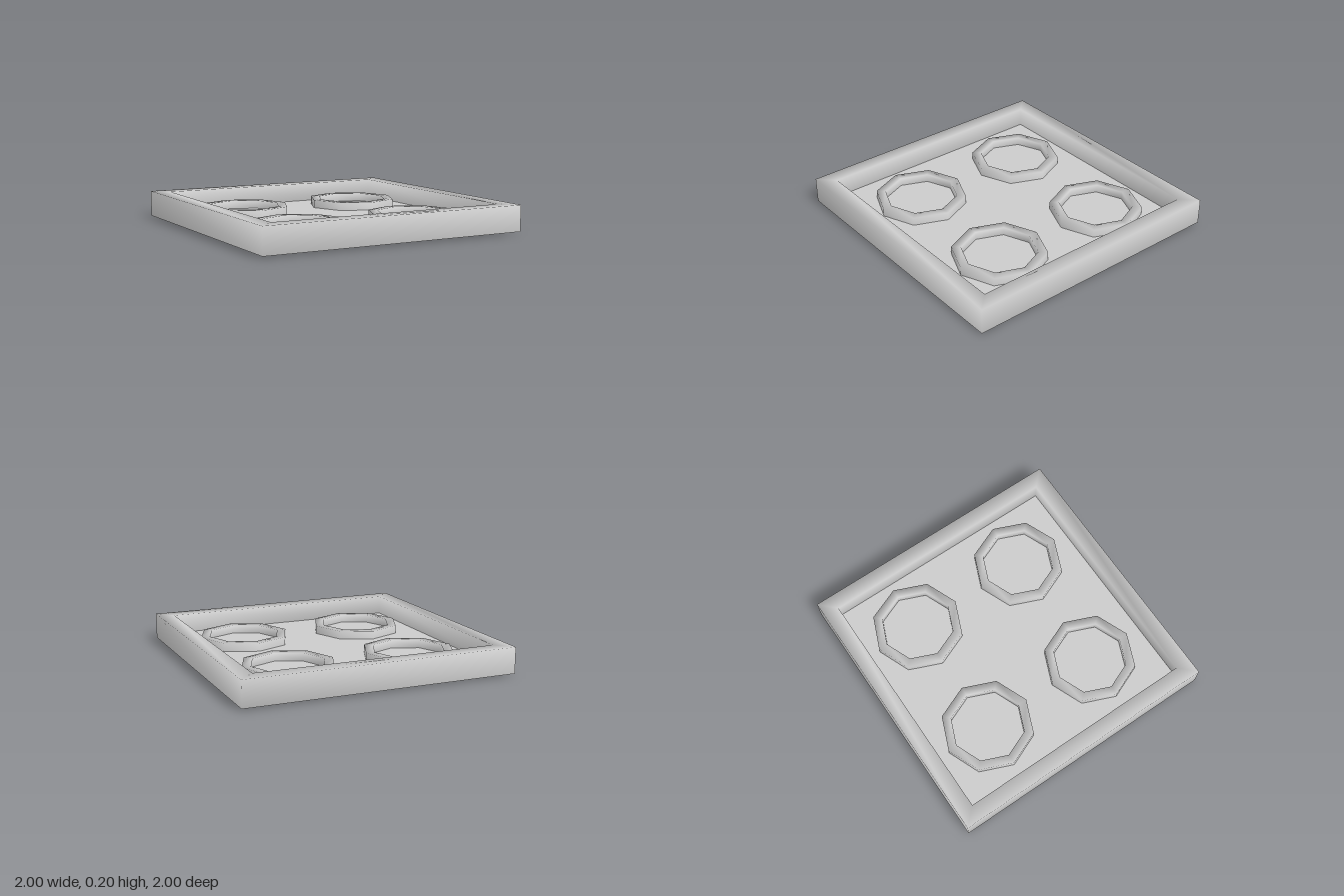
import * as THREE from 'three';

const material = new THREE.MeshStandardMaterial({ color: 0xcccccc, side: THREE.DoubleSide });
const FLOOR_Y = 0.063;

// Hollow rim, open underneath: outer wall, flat top, inner wall down to the floor
function rim(name, outer, inner, bottom, top, sides, phiStart) {
  const profile = [
    [outer, bottom], [outer, top], [inner, top], [inner, FLOOR_Y],
  ].map(([r, y]) => new THREE.Vector2(r, y));
  const mesh = new THREE.Mesh(new THREE.LatheGeometry(profile, sides, phiStart), material);
  mesh.name = name;
  return mesh;
}

export function createModel() {
  const group = new THREE.Group();
  group.name = 'tray';

  // Square border: a four-sided rim turned so its corners lie on the diagonals
  group.add(rim('border', Math.SQRT2, 0.885 * Math.SQRT2, 0.013, 0.203, 4, Math.PI / 4));

  // Thin floor
  const floor = new THREE.Mesh(new THREE.PlaneGeometry(1.77, 1.77).rotateX(-Math.PI / 2), material);
  floor.name = 'floor';
  floor.position.y = FLOOR_Y;
  group.add(floor);

  // Four eight-sided rings whose outer walls also serve as feet
  for (const x of [-0.45, 0.475]) {
    for (const z of [-0.465, 0.435]) {
      const ring = rim('ring', 0.335, 0.267, 0, 0.123, 8, 0);
      ring.position.set(x, 0, z);
      group.add(ring);
    }
  }
  return group;
}
